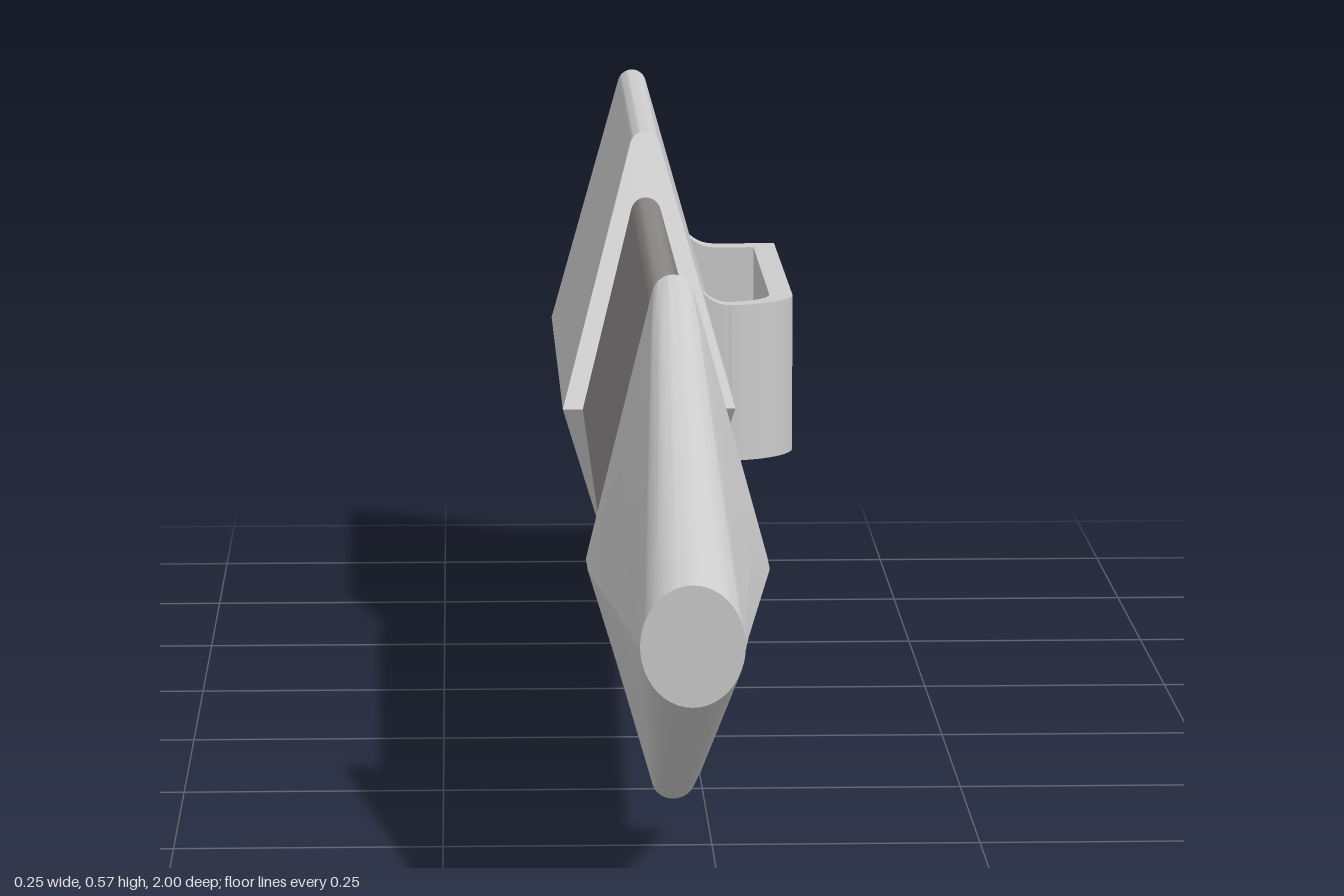
import * as THREE from 'three';
import { toCreasedNormals } from 'three/addons/utils/BufferGeometryUtils.js';

const AXIS_X = -0.035, AXIS_Y = 0.2835;
const SIDE = 4, ARC = 9; // segments per straight flank and per rounded tip quadrant

// Mirror a quadrant (from +x round to +y) into a full counter-clockwise ring.
function mirrorRing(q) {
  const left = q.slice(0, -1).reverse().map(([x, y]) => [-x, y]);
  const upper = [...q, ...left];
  return [...upper, ...upper.slice(1, -1).reverse().map(([x, y]) => [x, -y])];
}

// Angle of the flank normal for a diamond whose tips have radius r.
function flankAngle(a, b, r) {
  const c = b - r;
  return Math.acos(r / Math.hypot(a, c)) - Math.atan2(c, a);
}

// Diamond: sharp side corners at x = a, rounded tips at y = b.
function diamond(a, b, r, z) {
  const phi = flankAngle(a, b, r), q = [];
  const tx = r * Math.cos(phi), ty = b - r + r * Math.sin(phi);
  for (let i = 0; i < SIDE; i++) q.push([a + (tx - a) * i / SIDE, ty * i / SIDE]);
  for (let i = 0; i <= ARC; i++) {
    const t = phi + (Math.PI / 2 - phi) * i / ARC;
    q.push([r * Math.cos(t), b - r + r * Math.sin(t)]);
  }
  return mirrorRing(q).map(([x, y]) => [x, y, z(Math.abs(y))]);
}

// Ellipse with points matched to those of a diamond.
function ellipse(a, b, phi, z) {
  const q = [];
  for (let i = 0; i < SIDE; i++) q.push([a * Math.cos(phi * i / SIDE), b * Math.sin(phi * i / SIDE)]);
  for (let i = 0; i <= ARC; i++) {
    const t = phi + (Math.PI / 2 - phi) * i / ARC;
    q.push([a * Math.cos(t), b * Math.sin(t)]);
  }
  return mirrorRing(q).map(([x, y]) => [x, y, z]);
}

const centre = (ring, z) => ring.map(() => [0, 0, z]);

// Skin a sequence of rings.
function loft(rings) {
  const pos = [];
  const tri = (...pts) => pts.forEach(p => pos.push(p[0] + AXIS_X, p[1] + AXIS_Y, p[2]));
  const isPoint = r => r.every(p => p[0] === 0 && p[1] === 0);
  for (let i = 0; i < rings.length - 1; i++) {
    const A = rings[i], B = rings[i + 1], n = A.length;
    for (let j = 0; j < n; j++) {
      const k = (j + 1) % n;
      if (!isPoint(A)) tri(A[j], A[k], B[k]);
      if (!isPoint(B)) tri(A[j], B[k], B[j]);
    }
  }
  const g = new THREE.BufferGeometry();
  g.setAttribute('position', new THREE.Float32BufferAttribute(pos, 3));
  return toCreasedNormals(g, 0.3);
}

export function createModel() {
  const group = new THREE.Group();
  const grey = new THREE.MeshStandardMaterial({ color: 0xcccccc });
  const dark = new THREE.MeshStandardMaterial({ color: 0x888484 });
  const add = (name, geometry, material, parent = group) => {
    const mesh = new THREE.Mesh(geometry, material);
    mesh.name = name;
    parent.add(mesh);
  };
  const flat = z => () => z;

  // Body: slightly tapered diamond bar
  const bodyBack = diamond(0.07, 0.209, 0.016, flat(-0.54));
  const bodyFront = diamond(0.066, 0.19, 0.016, flat(0.58));
  add('body', loft([centre(bodyBack, -0.54), bodyBack, bodyFront, centre(bodyFront, 0.58)]), dark);

  // Cap: hollow at the back, chevron cut at the front
  const capCut = y => -0.315 - 0.158 * y / 0.272;
  const socket = z => diamond(0.057, 0.19, 0.004, flat(z));
  add('cap', loft([
    centre(bodyBack, -0.56), socket(-0.56), socket(-1),
    diamond(0.092, 0.2835, 0.016, flat(-1)),
    diamond(0.09, 0.273, 0.016, capCut),
    diamond(0.068, 0.205, 0.014, capCut),
  ]), grey);

  // Nose: chevron-cut diamond blending into an elliptical tip
  const noseCut = y => 0.57 - 0.105 * y / 0.247;
  const rear = diamond(0.083, 0.247, 0.02, noseCut);
  const tip = ellipse(0.045, 0.053, flankAngle(0.083, 0.247, 0.02), 1);
  const mid = rear.map((p, i) => p.map((v, c) =>
    (v + (tip[i][c] - v) * 0.14) * (c === 0 ? 1.06 : 1)));
  add('nose', loft([
    diamond(0.064, 0.187, 0.016, noseCut), rear, mid, tip, centre(tip, 1),
  ]), grey);

  // Clip: bent strip with flared feet (strip drawn in x, -z)
  const clip = new THREE.Group();
  clip.name = 'clip';
  group.add(clip);
  const half = 0.084;
  const strip = new THREE.Shape();
  strip.moveTo(0.025, 1);
  strip.lineTo(0.025, 0.965);
  strip.lineTo(0.102, 0.965);
  strip.lineTo(0.102, 0.575);
  strip.absarc(0.042, 0.575, 0.06, 0, -Math.PI / 2, true);
  strip.lineTo(0.025, 0.515);
  strip.lineTo(0.025, 0.49);
  strip.lineTo(0.042, 0.49);
  strip.absarc(0.042, 0.575, 0.085, -Math.PI / 2, 0, false);
  strip.lineTo(0.127, 1);
  const stripGeo = new THREE.ExtrudeGeometry(strip, { depth: 2 * half, bevelEnabled: false, curveSegments: 14 });
  stripGeo.rotateX(-Math.PI / 2).translate(0, AXIS_Y - half, 0);
  add('clipStrip', toCreasedNormals(stripGeo, 0.4), grey, clip);

  // Feet flare out to meet the cap
  const foot = new THREE.Shape();
  foot.moveTo(0.035, 0);
  foot.lineTo(0.018, -0.113);
  foot.quadraticCurveTo(0.031, -half, 0.058, -half);
  foot.lineTo(0.058, half);
  foot.quadraticCurveTo(0.031, half, 0.018, 0.113);
  for (const [name, z, depth] of [['clipBackFoot', -1, 0.035], ['clipFrontFoot', -0.515, 0.024]]) {
    const g = new THREE.ExtrudeGeometry(foot, { depth, bevelEnabled: false, curveSegments: 8 });
    g.translate(0, AXIS_Y, z);
    add(name, toCreasedNormals(g, 0.4), grey, clip);
  }
  return group;
}
